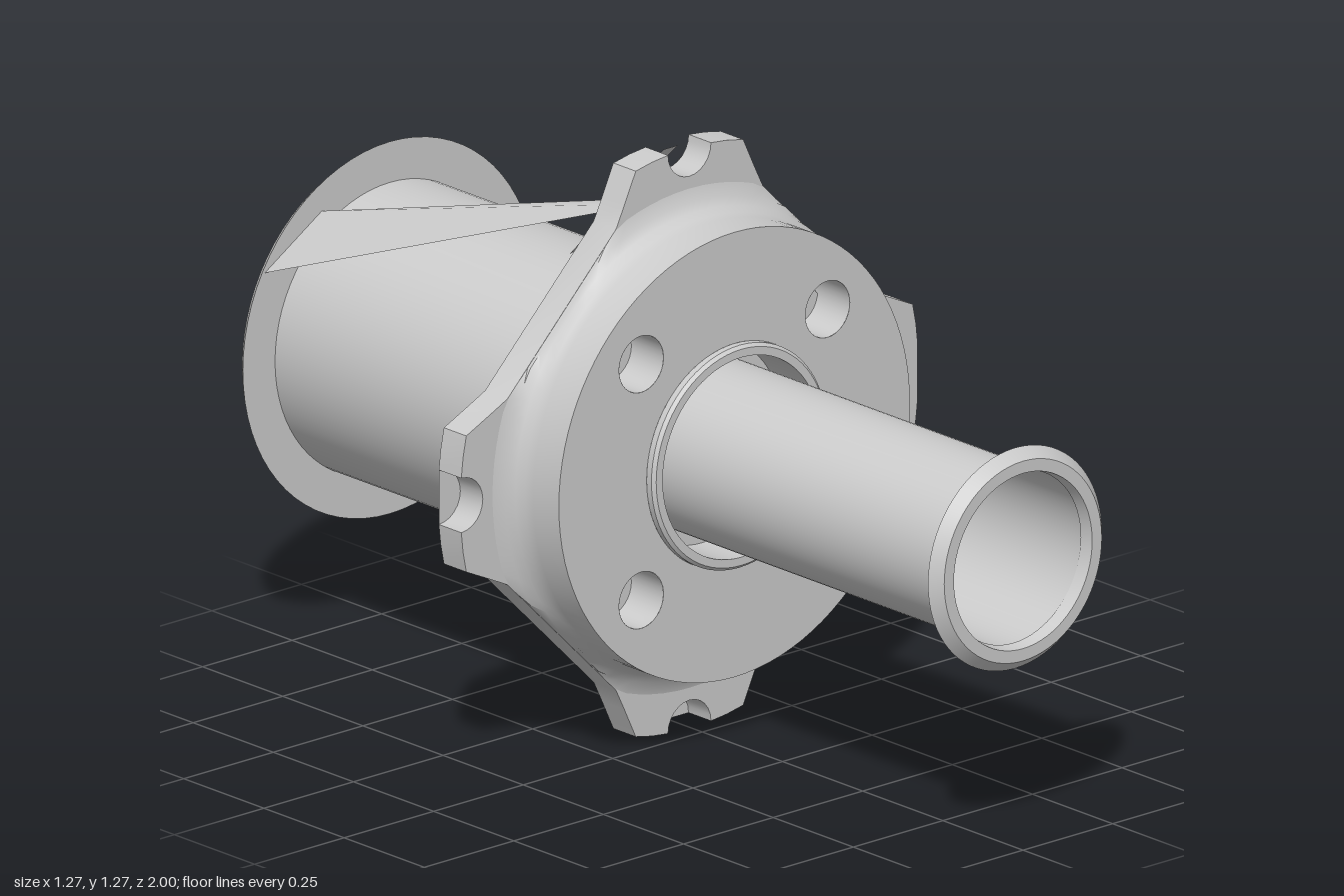
import * as THREE from 'three';
import { toCreasedNormals } from 'three/addons/utils/BufferGeometryUtils.js';

export function createModel() {
  const root = new THREE.Group();
  const hub = new THREE.Group();
  hub.name = 'wheelHub';
  hub.position.y = 0.64;
  root.add(hub);
  const mat = new THREE.MeshStandardMaterial({ color: 0xcccccc, side: THREE.DoubleSide });

  const add = (name, geo) => {
    const m = new THREE.Mesh(geo, mat);
    m.name = name;
    hub.add(m);
    return m;
  };
  // Turned part about the z axis; each point is [radius, z]
  const turned = (pts, seg = 72) => {
    const g = new THREE.LatheGeometry(pts.map(([r, z]) => new THREE.Vector2(r, z)), seg);
    return g.rotateX(Math.PI / 2);
  };
  const crease = (g) => toCreasedNormals(g, 0.6);

  // Thin open tubes with flared end rims
  add('frontTube', crease(turned([[0.19, 0], [0.19, 0.975], [0.243, 0.975], [0.22, 1], [0.193, 1], [0.188, 0.97]])));
  add('rearTube', crease(turned([[0.32, 0], [0.32, -0.975], [0.41, -0.975], [0.39, -1], [0.32, -1], [0.317, -0.97]])));

  // Hub body with a filleted shoulder, rear ring and recess floor
  const body = turned([
    [0.49, 0.1], [0.49, 0.02], [0.495, 0], [0.505, -0.018], [0.522, -0.032], [0.55, -0.04],
    [0.55, -0.11], [0.5, -0.113], [0.475, -0.125], [0.46, -0.145], [0.455, -0.16],
    [0.445, -0.17], [0.41, -0.17], [0.41, 0], [0, 0],
  ], 96);
  // Trim the shoulder where the flange has its flat diagonal sides
  const p = body.attributes.position;
  for (let i = 0; i < p.count; i++) {
    const x = p.getX(i), y = p.getY(i);
    const s = Math.min(1, 0.712 / Math.max(Math.abs(x) + Math.abs(y), 0.01));
    p.setXY(i, x * s, y * s);
  }
  add('hubBody', crease(body));

  // Raised collar round the front tube
  add('frontCollar', crease(turned([[0.245, 0.1], [0.245, 0.115], [0.238, 0.122], [0.22, 0.122], [0.22, 0]])));

  // Front plate with four bolt holes
  const plate = new THREE.Shape().absarc(0, 0, 0.49, 0, Math.PI * 2);
  plate.holes.push(new THREE.Path().absarc(0, 0, 0.245, 0, Math.PI * 2, true));
  for (const sx of [-1, 1]) for (const sy of [-1, 1]) {
    plate.holes.push(new THREE.Path().absarc(sx * 0.26, sy * 0.26, 0.062, 0, Math.PI * 2, true));
    const pocket = add('boltPocket', turned([
      [0.062, 0.1], [0.062, -0.01], [0.056, -0.035], [0.036, -0.057], [0, -0.068],
    ], 32));
    pocket.position.set(sx * 0.26, sy * 0.26, 0);
  }
  add('frontPlate', new THREE.ShapeGeometry(plate, 48).translate(0, 0, 0.1));

  // Four-eared flange, one notch in each ear
  const ear = [[0.205, 0.508], [0.182, 0.555], [0.15, 0.623], [0.105, 0.632], [0.06, 0.637]];
  const notch = [];
  for (let i = 1; i < 12; i++) {
    const a = -Math.PI * i / 12;
    notch.push([0.06 * Math.cos(a), 0.637 + 0.06 * Math.sin(a)]);
  }
  const quarter = [...ear, ...notch, ...ear.map(([x, y]) => [-x, y]).reverse()];
  const outline = [];
  for (let k = 0; k < 4; k++) {
    for (const [x, y] of quarter) {
      outline.push(new THREE.Vector2(x, y).rotateAround(new THREE.Vector2(), k * Math.PI / 2));
    }
  }
  const flange = new THREE.Shape(outline);
  flange.holes.push(new THREE.Path().absarc(0, 0, 0.41, 0, Math.PI * 2, true));
  add('earedFlange', crease(new THREE.ExtrudeGeometry(flange, { depth: 0.07, bevelEnabled: false, curveSegments: 48 })
    .translate(0, 0, -0.11)));

  // Thin webs closing three of the notches
  for (const [a, z] of [[Math.PI / 2, -0.11], [Math.PI, -0.11], [-Math.PI / 2, -0.04]]) {
    add('notchWeb', new THREE.CircleGeometry(0.06, 24, Math.PI, Math.PI).translate(0, 0.637, z).rotateZ(a));
  }

  // Flat four-cornered strips
  const strip = (name, a, b, c, d) => {
    const g = new THREE.BufferGeometry();
    g.setAttribute('position', new THREE.Float32BufferAttribute([...a, ...b, ...c, ...d], 3));
    g.setIndex([0, 1, 2, 0, 2, 3]);
    g.computeVertexNormals();
    add(name, g);
  };
  // Struts from the top ear to the rear tube
  strip('longStrut', [-0.05, 0.51, -0.11], [0.01, 0.51, -0.11], [-0.19, 0.3, -0.98], [-0.35, 0.2, -0.98]);
  strip('shortStrut', [0.05, 0.6, -0.11], [0.11, 0.58, -0.11], [0.06, 0.31, -0.34], [0.02, 0.32, -0.36]);
  strip('shortStrut', [-0.01, 0.62, -0.11], [0.03, 0.62, -0.11], [0.01, 0.32, -0.4], [-0.02, 0.32, -0.39]);

  // Cross strips over the rear opening: [x1, y1, x2, y2, width]
  const bars = [
    [0.25, -0.19, -0.25, -0.19, 0.09], [0.3, -0.1, -0.12, 0.29, 0.025],
    [0.2, 0.24, 0, -0.15, 0.025], [-0.08, 0.3, -0.3, -0.08, 0.025],
  ];
  for (const [x1, y1, x2, y2, w] of bars) {
    const n = new THREE.Vector2(y1 - y2, x2 - x1).setLength(w / 2);
    strip('rearCrossStrip', [x1 + n.x, y1 + n.y, -0.995], [x2 + n.x, y2 + n.y, -0.995],
      [x2 - n.x, y2 - n.y, -0.995], [x1 - n.x, y1 - n.y, -0.995]);
  }
  return root;
}
